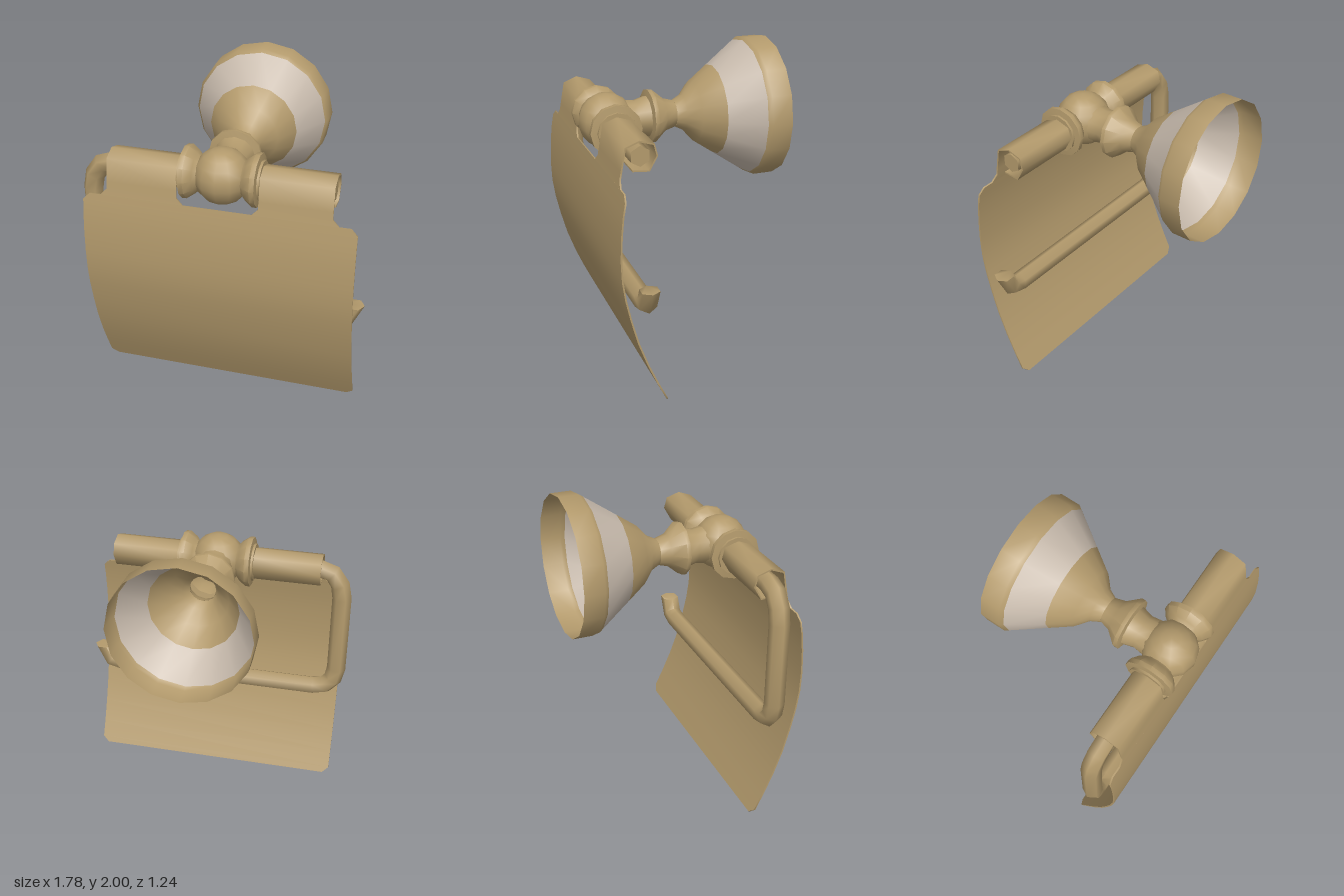
import * as THREE from 'three';
import { toCreasedNormals } from 'three/addons/utils/BufferGeometryUtils.js';

const AXIS_Y = 1.555, ROD_Z = 0.44;
const V2 = (a, b) => new THREE.Vector2(a, b);

// Skin a list of equal-length closed rings and cap both ends.
function loft(rings) {
  const n = rings[0].length, index = [];
  for (let i = 0; i < rings.length - 1; i++) {
    for (let j = 0; j < n; j++) {
      const a = i * n + j, b = i * n + (j + 1) % n;
      index.push(a, b, b + n, a, b + n, a + n);
    }
  }
  const last = (rings.length - 1) * n;
  for (let j = 1; j < n - 1; j++) {
    index.push(0, j + 1, j, last, last + j, last + j + 1);
  }
  const geo = new THREE.BufferGeometry().setFromPoints(rings.flat());
  geo.setIndex(index);
  return toCreasedNormals(geo, 1.2);
}

// Unit tangents along a 2D polyline.
function tangents(pts) {
  return pts.map((p, i) => {
    const t = V2(0, 0);
    if (i > 0) t.add(p.clone().sub(pts[i - 1]).normalize());
    if (i < pts.length - 1) t.add(pts[i + 1].clone().sub(p).normalize());
    return t.normalize();
  });
}

// Curved sheet: rows of [z, y, x0, x1], given a small thickness.
function sheet(rows) {
  const half = 0.005;
  const tan = tangents(rows.map(([z, y]) => V2(z, y)));
  return loft(rows.map(([z, y, x0, x1], i) => {
    const dz = -tan[i].y * half, dy = tan[i].x * half;
    return [
      new THREE.Vector3(x0, y + dy, z + dz), new THREE.Vector3(x1, y + dy, z + dz),
      new THREE.Vector3(x1, y - dy, z - dz), new THREE.Vector3(x0, y - dy, z - dz),
    ];
  }));
}

// Six-sided bar swept along a path in the xy plane.
function hexBar(path, radius) {
  const tan = tangents(path);
  tan[path.length - 1].set(0, 1); // level cut on the raised tip
  return loft(path.map((p, i) => Array.from({ length: 6 }, (_, k) => {
    const a = k * Math.PI / 3, c = Math.cos(a) * radius;
    return new THREE.Vector3(p.x - tan[i].y * c, p.y + tan[i].x * c, ROD_Z + Math.sin(a) * radius);
  })));
}

// Turned part from [radius, position] pairs.
function turned(profile, sides) {
  const geo = new THREE.LatheGeometry(profile.map(([r, h]) => V2(r, h)), sides);
  return toCreasedNormals(geo, 0.75);
}

export function createModel() {
  const group = new THREE.Group();
  const brass = new THREE.MeshStandardMaterial({ color: 0xb39a6c, side: THREE.DoubleSide });
  brass.name = 'brass';
  const silver = new THREE.MeshStandardMaterial({ color: 0xc8bbad, side: THREE.DoubleSide });
  silver.name = 'silver';

  const add = (name, geo, material = brass) => {
    const mesh = new THREE.Mesh(geo, material);
    mesh.name = name;
    group.add(mesh);
    return mesh;
  };

  // Wall cup, open at the back, with a silver band, then the neck
  const alongZ = (name, profile, sides, material) => {
    const geo = turned(profile, sides).rotateX(Math.PI / 2);
    add(name, geo, material).position.y = AXIS_Y - 0.002;
  };
  const coneR = z => 0.195 + (-0.13 - z) / 0.36 * 0.2525;
  alongZ('wallCupRim', [[0.4475, -0.62], [0.4475, -0.49], [coneR(-0.465), -0.465]], 16);
  alongZ('wallCupBand', [[coneR(-0.465), -0.465], [coneR(-0.26), -0.26]], 16, silver);
  alongZ('wallCupNeck', [[coneR(-0.26), -0.26], [0.195, -0.13], [0.115, -0.06], [0.085, 0]], 16);
  alongZ('neckBead', [[0.085, 0], [0.105, 0.07], [0.17, 0.145], [0.17, 0.17],
    [0.13, 0.178], [0.11, 0.25], [0.12, 0.32]], 12);

  // Central ball
  const ball = new THREE.SphereGeometry(0.175, 12, 9);
  add('centreBall', ball).position.set(0, AXIS_Y, ROD_Z);

  // Collars on both sides of the ball
  for (const side of [1, -1]) {
    const collar = turned([[0.09, 0.1], [0.1, 0.13], [0.13, 0.155], [0.163, 0.2], [0.163, 0.23],
      [0.122, 0.235], [0.122, 0.25], [0.05, 0.25]], 12).rotateZ(-side * Math.PI / 2);
    add(side > 0 ? 'leftCollar' : 'rightCollar', collar).position.set(0, AXIS_Y, ROD_Z);
  }

  // Cover sheet: rolled sleeves around the bar
  const roll = [[0.49, 1.475], [0.39, 1.465], [0.342, 1.55], [0.36, 1.62], [0.445, 1.647],
    [0.53, 1.615], [0.555, 1.475], [0.563, 1.43]];
  const sleeve = [...roll.map(p => [...p, 0.25, 0.69]), [0.571, 1.39, 0.21, 0.73]];
  add('leftSleeve', sheet(sleeve));
  add('rightSleeve', sheet(sleeve.map(([z, y, a, b]) => [z, y, -b, -a])));

  // Cover sheet: curved panel with clipped corners
  const panel = [[0.571, 1.39, 0.8], [0.578, 1.35, 0.84], [0.592, 1.27, 0.84], [0.604, 1.15, 0.84],
    [0.61, 1.0, 0.84], [0.605, 0.87, 0.84], [0.588, 0.75, 0.84], [0.557, 0.61, 0.84],
    [0.514, 0.45, 0.84], [0.456, 0.29, 0.84], [0.395, 0.15, 0.84], [0.342, 0.04, 0.84],
    [0.324, 0.003, 0.8]];
  add('coverPanel', sheet(panel.map(([z, y, x]) => [z, y, -x, x])));

  // Roll-holding arm: through the sleeves, down, across and up at the tip
  const arm = [[0.68, 1.555], [-0.68, 1.555], [-0.76, 1.53], [-0.812, 1.455], [-0.83, 1.36],
    [-0.83, 0.82], [-0.812, 0.735], [-0.76, 0.677], [-0.68, 0.658], [0.7, 0.658],
    [0.775, 0.675], [0.828, 0.785]];
  add('holderArm', hexBar(arm.map(([x, y]) => V2(x, y)), 0.063));

  return group;
}
